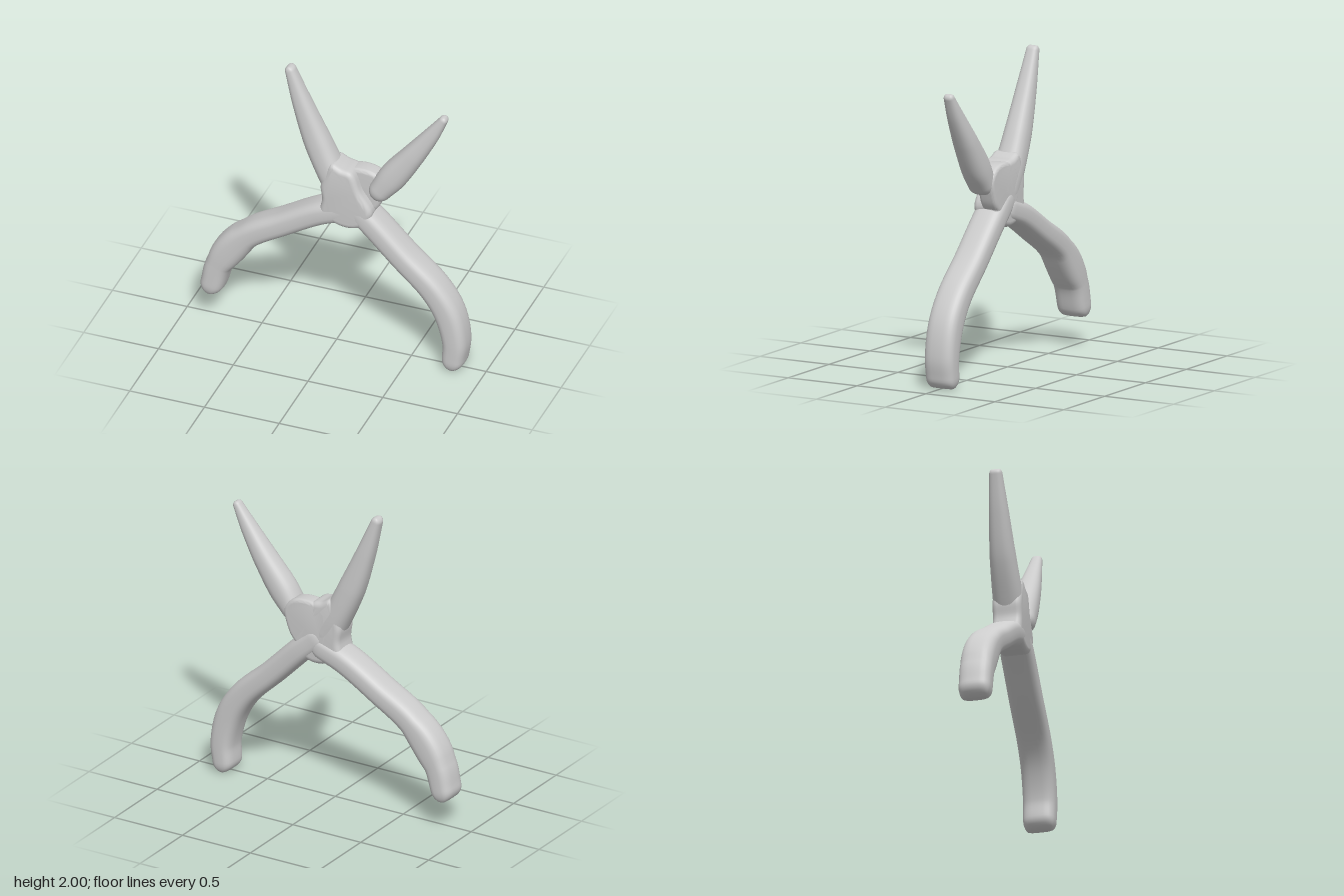
import * as THREE from 'three';
import { toCreasedNormals } from 'three/addons/utils/BufferGeometryUtils.js';

const material = new THREE.MeshStandardMaterial({ color: 0xcccccc });
const SIDES = 32, STEPS = 40, CAP = 7;

// Rounded bar swept along a path in the XY plane.
// stations: [x, y, halfWidth, halfDepth, z]; power squares off the section;
// capDepth is how much of the depth remains at the very end.
function sweep(name, stations, power, capDepth) {
  const path = new THREE.CatmullRomCurve3(stations.map(s => new THREE.Vector3(s[0], s[1], s[4] || 0)));
  const size = new THREE.CatmullRomCurve3(stations.map(s => new THREE.Vector3(s[2], s[3], 0)));
  const rows = [];
  const addRow = (t, angle) => {
    const tangent = path.getTangent(t).setZ(0).normalize();
    const { x: w, y: d } = size.getPoint(t);
    const c = Math.cos(angle);
    const centre = path.getPoint(t).addScaledVector(tangent, w * Math.sin(angle));
    rows.push({ centre, tangent, w: w * c, d: d * (capDepth + (1 - capDepth) * c) });
  };
  for (let i = 0; i < CAP; i++) addRow(0, -Math.PI / 2 * (1 - i / CAP));
  for (let i = 0; i <= STEPS; i++) addRow(i / STEPS, 0);
  for (let i = 1; i <= CAP; i++) addRow(1, Math.PI / 2 * i / CAP);

  const bend = v => Math.sign(v) * Math.abs(v) ** (2 / power);
  const position = [], index = [];
  rows.forEach(({ centre, tangent, w, d }, i) => {
    for (let j = 0; j < SIDES; j++) {
      const a = j / SIDES * Math.PI * 2;
      const u = w * bend(Math.cos(a)), v = d * bend(Math.sin(a));
      position.push(centre.x - tangent.y * u, centre.y + tangent.x * u, centre.z + v);
      if (i === rows.length - 1) continue;
      const k = i * SIDES + j, n = i * SIDES + (j + 1) % SIDES;
      index.push(k, n, k + SIDES, n, n + SIDES, k + SIDES);
    }
  });
  const geometry = new THREE.BufferGeometry();
  geometry.setAttribute('position', new THREE.Float32BufferAttribute(position, 3));
  geometry.setIndex(index);
  geometry.computeVertexNormals();
  const mesh = new THREE.Mesh(geometry, material);
  mesh.name = name;
  return mesh;
}

// Soft-edged plate from a closed smooth outline, between two depths.
function plate(name, outline, back, front, bevel) {
  const loop = new THREE.CatmullRomCurve3(outline.map(p => new THREE.Vector3(p[0], p[1], 0)), true);
  const shape = new THREE.Shape(loop.getPoints(64).slice(0, -1).map(p => new THREE.Vector2(p.x, p.y)));
  const geometry = new THREE.ExtrudeGeometry(shape, {
    depth: front - back - 2 * bevel, bevelThickness: bevel, bevelSize: bevel,
    bevelOffset: -bevel, bevelSegments: 5,
  });
  geometry.translate(0, 0, back + bevel);
  const mesh = new THREE.Mesh(toCreasedNormals(geometry, 0.8), material);
  mesh.name = name;
  return mesh;
}

export function createModel() {
  const model = new THREE.Group();
  model.name = 'pliers';

  // Curved grips
  model.add(sweep('rightHandle', [
    [-0.815, 0.265, 0.078, 0.104], [-0.77, 0.42, 0.085, 0.105], [-0.59, 0.66, 0.085, 0.105],
    [-0.34, 0.82, 0.08, 0.105], [-0.1, 0.96, 0.08, 0.104], [0.06, 1.02, 0.08, 0.1],
  ], 3, 0.65));
  model.add(sweep('leftHandle', [
    [0.795, 0.077, 0.074, 0.103], [0.803, 0.2, 0.08, 0.105], [0.755, 0.4, 0.088, 0.105],
    [0.655, 0.56, 0.085, 0.105], [0.45, 0.755, 0.08, 0.105], [0.24, 0.965, 0.08, 0.104],
    [0.12, 1.07, 0.08, 0.098],
  ], 3, 0.65));

  // Tapered jaws
  model.add(sweep('rightJaw', [
    [-0.307, 1.965, 0.034, 0.042], [-0.23, 1.74, 0.06, 0.062], [-0.125, 1.47, 0.085, 0.082],
    [-0.02, 1.25, 0.09, 0.094, 0.004], [0.05, 1.13, 0.1, 0.094, 0.005],
  ], 2.5, 0.5));
  model.add(sweep('leftJaw', [
    [0.715, 1.835, 0.028, 0.035], [0.64, 1.71, 0.05, 0.052], [0.52, 1.53, 0.073, 0.075],
    [0.385, 1.34, 0.09, 0.088, 0.004], [0.305, 1.225, 0.075, 0.088, 0.008],
  ], 2.4, 0.35));

  // Pivot block, and the thinner half lapping behind it to the left jaw
  model.add(plate('pivotBlock', [
    [-0.07, 1.1], [-0.08, 1.19], [-0.06, 1.27], [-0.005, 1.375], [0.06, 1.35], [0.13, 1.33],
    [0.185, 1.2], [0.265, 1.06], [0.2, 0.95], [0.12, 0.92], [0.03, 0.93], [-0.08, 0.99],
  ], -0.088, 0.1, 0.035));
  model.add(plate('pivotLap', [
    [0.02, 1.05], [0.02, 1.28], [0.12, 1.335], [0.26, 1.325], [0.33, 1.25],
    [0.31, 1.14], [0.27, 1.06], [0.16, 0.98],
  ], -0.088, 0.03, 0.025));

  return model;
}
